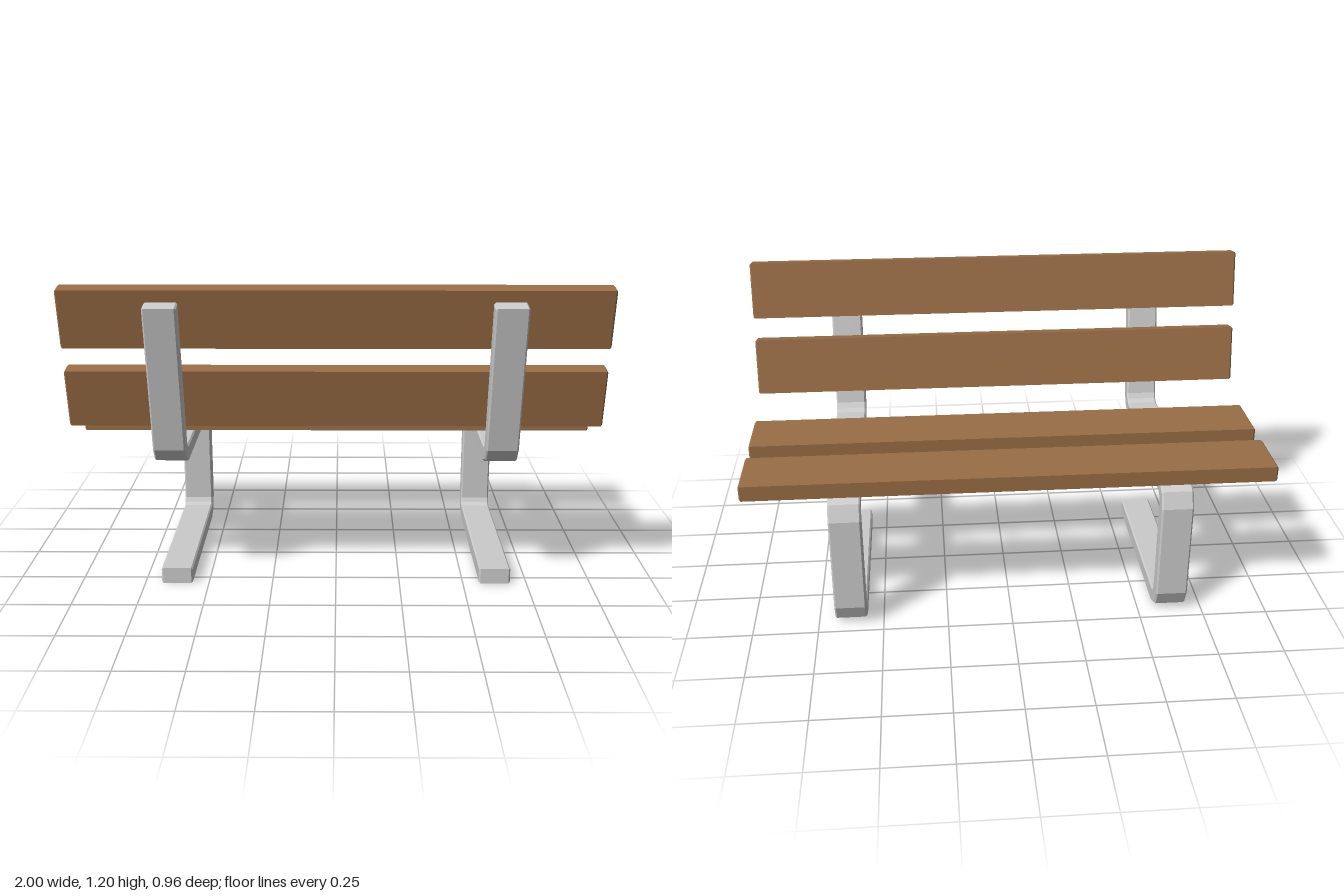
import * as THREE from 'three';

const BEVEL = 0.006;
const steel = new THREE.MeshStandardMaterial({ color: 0xcccccc, flatShading: true });
const wood = new THREE.MeshStandardMaterial({ color: 0x9a6e46, flatShading: true });

// Extrudes a (z, y) side profile along x, centred, with slightly chamfered edges
function extrudeAcross(profile, width) {
  const shape = new THREE.Shape(profile.map(([z, y]) => new THREE.Vector2(z, y)));
  const geometry = new THREE.ExtrudeGeometry(shape, {
    depth: width - 2 * BEVEL,
    bevelEnabled: true,
    bevelThickness: BEVEL,
    bevelSize: BEVEL,
    bevelOffset: -BEVEL,
    bevelSegments: 1,
  });
  geometry.translate(0, 0, BEVEL - width / 2);
  return geometry.rotateY(-Math.PI / 2);
}

export function createModel() {
  const bench = new THREE.Group();
  bench.name = 'bench';

  // Bent flat-bar frame: foot, upright, seat rail and leaning back post
  const frameProfile = [
    // outer side of the foot, upright and seat, then the front of the post
    [0.305, 0], [-0.39, 0], [-0.45, 0.028], [-0.476, 0.09],
    [-0.476, 0.47], [-0.45, 0.532], [-0.387, 0.562],
    [0.276, 0.562], [0.298, 0.571], [0.31, 0.592], [0.418, 1.142],
    // back of the post, then the inner side returning to the foot
    [0.479, 1.13], [0.369, 0.57], [0.333, 0.52], [0.275, 0.5],
    [-0.387, 0.5], [-0.407, 0.491], [-0.415, 0.47],
    [-0.415, 0.09], [-0.407, 0.071], [-0.387, 0.063], [0.305, 0.063],
  ];
  const frameGeometry = extrudeAcross(frameProfile, 0.122);
  for (const [side, x] of [['left', 0.624], ['right', -0.624]]) {
    const frame = new THREE.Mesh(frameGeometry, steel);
    frame.name = side + 'Frame';
    frame.position.x = x;
    bench.add(frame);
  }

  // Planks share one board; the back ones lean with the posts
  const t = 0.03, h = 0.1125;
  const plankGeometry = extrudeAcross([[-t, -h], [t, -h], [t, h], [-t, h]], 2);
  const lean = 0.19;
  const planks = [
    ['frontSeatPlank', 0.594, -0.342, Math.PI / 2],
    ['rearSeatPlank', 0.594, -0.023, Math.PI / 2],
    ['lowerBackPlank', 0.77, 0.317, lean],
    ['upperBackPlank', 1.081, 0.377, lean],
  ];
  for (const [name, y, z, tilt] of planks) {
    const plank = new THREE.Mesh(plankGeometry, wood);
    plank.name = name;
    plank.position.set(0, y, z);
    plank.rotation.x = tilt;
    bench.add(plank);
  }

  return bench;
}
